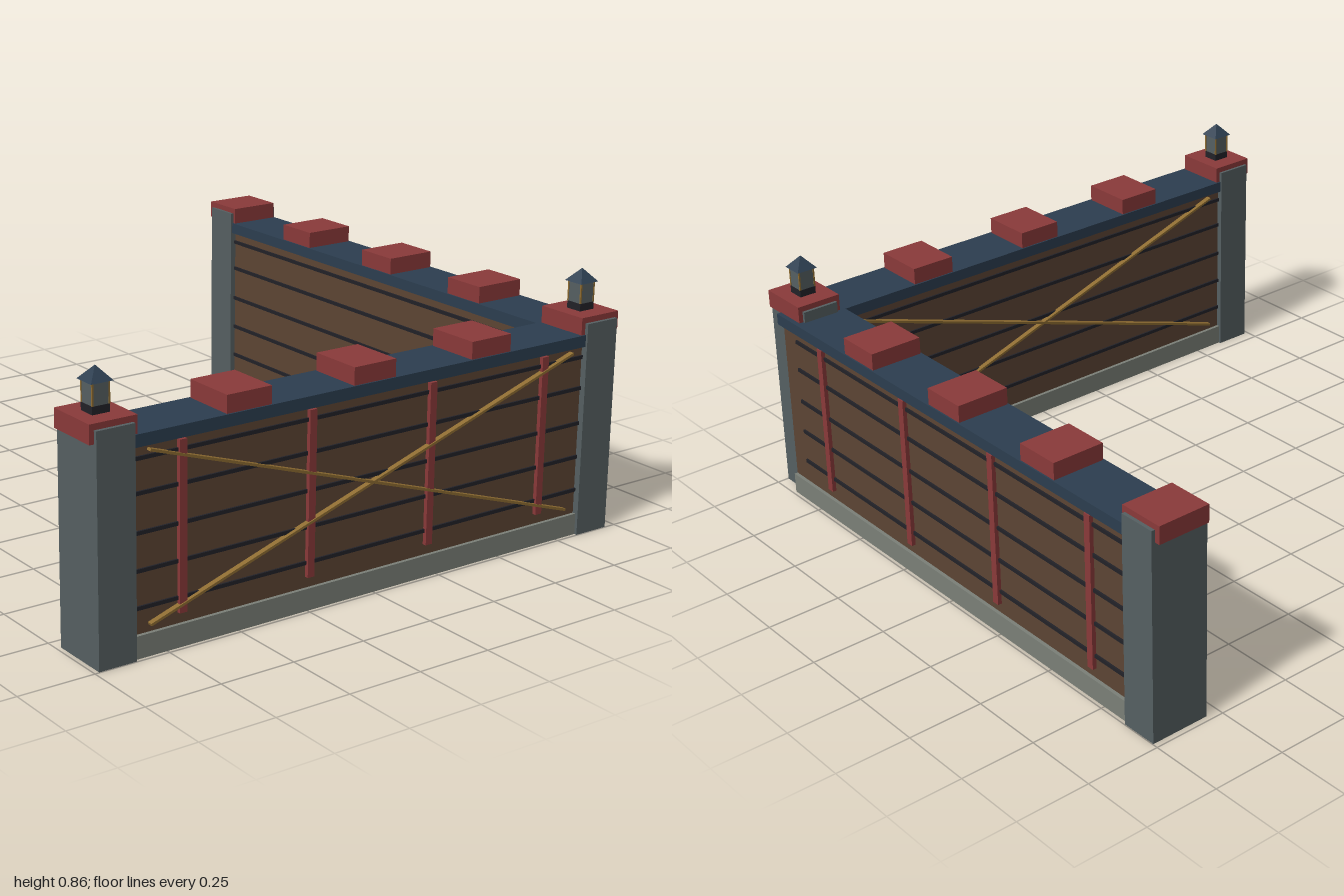
import * as THREE from 'three';

const mat = (name, color) => new THREE.MeshStandardMaterial({ name, color });

export function createModel() {
  const wood = mat('brown wood', 0x5d4534), stone = mat('grey stone', 0x566062);
  const plinth = mat('pale stone', 0x7b8078), red = mat('red paint', 0x8b3a3a);
  const navy = mat('navy roof', 0x2c3e50), dark = mat('dark groove', 0x222228), gold = mat('gold trim', 0x8f6d32);
  const root = new THREE.Group();
  root.name = 'cornerWall';

  const add = (parent, name, geometry, material, x, y, z) => {
    const mesh = new THREE.Mesh(geometry, material);
    mesh.name = name;
    mesh.position.set(x, y, z);
    parent.add(mesh);
    return mesh;
  };
  // box given by its min and max on each axis
  const box = (parent, name, material, [x0, x1], [y0, y1], [z0, z1]) =>
    add(parent, name, new THREE.BoxGeometry(x1 - x0, y1 - y0, z1 - z0), material,
      (x0 + x1) / 2, (y0 + y1) / 2, (z0 + z1) / 2);

  // one wall along local x, outside facing local +z
  function wall(name, ends, copingEnds, plankEnds, posts, merlons) {
    const g = new THREE.Group();
    g.name = name;
    box(g, 'wallBody', wood, ends, [0, 0.64], [-0.08, 0.08]);
    box(g, 'coping', navy, copingEnds, [0.63, 0.668], [-0.095, 0.095]);
    for (const s of [-1, 1]) {
      const side = (a, b) => (s > 0 ? [a, b] : [-b, -a]);
      box(g, 'plinth', plinth, ends, [0, 0.07], side(0.075, 0.092));
      for (const y of [0.15, 0.262, 0.375, 0.492, 0.594])
        box(g, 'plankGroove', dark, plankEnds, [y - 0.006, y + 0.006], side(0.078, 0.086));
    }
    for (const x of posts) box(g, 'batten', red, [x - 0.0125, x + 0.0125], [0.105, 0.625], [0.075, 0.094]);
    for (const x of merlons) box(g, 'merlon', red, [x - 0.078, x + 0.078], [0.665, 0.724], [-0.09, 0.09]);
    root.add(g);
    return g;
  }

  const front = wall('frontWall', [-0.9, 0.9], [-0.9, 0.9], [-0.88, 0.86],
    [-0.695, -0.24, 0.214, 0.668], [-0.467, -0.012, 0.442]);
  front.position.z = 0.896;

  // local x runs towards the back
  const side = wall('sideWall', [-0.905, 0.9], [-0.917, 0.9], [-0.83, 0.88],
    [-0.675, -0.22, 0.234, 0.69], [-0.446, 0.008, 0.463]);
  side.position.x = 0.896;
  side.rotation.y = Math.PI / 2;

  // crossed gold braces on both faces of the front wall
  const run = 1.59, rise = 0.52;
  for (const s of [-1, 1]) for (const d of [-1, 1]) {
    const brace = add(front, 'crossBrace', new THREE.BoxGeometry(Math.hypot(run, rise), 0.008, 0.02), gold,
      -0.012, 0.356, s * 0.088);
    brace.rotation.z = d * Math.atan2(rise, run);
  }

  // pillars and their caps
  for (const x of [-0.922, 0.897]) {
    box(root, 'pillar', stone, [x - 0.063, x + 0.063], [0, 0.705], [0.796, 0.998]);
    box(root, 'pillarCap', red, [x - 0.078, x + 0.078], [0.665, 0.724], [0.806, 0.986]);
  }
  box(root, 'pillar', stone, [0.796, 0.998], [0, 0.705], [-0.981, -0.855]);
  box(root, 'pillarCap', red, [0.806, 0.986], [0.665, 0.724], [-1, -0.844]);

  // lanterns on the front pillars
  for (const x of [-0.922, 0.897]) {
    const g = new THREE.Group();
    g.name = 'lantern';
    g.position.set(x, 0.724, 0.896);
    add(g, 'lanternFoot', new THREE.BoxGeometry(0.058, 0.024, 0.058), dark, 0, 0.012, 0);
    add(g, 'lanternBody', new THREE.BoxGeometry(0.056, 0.07, 0.056), stone, 0, 0.059, 0);
    for (const i of [-1, 1]) for (const k of [-1, 1])
      add(g, 'lanternEdge', new THREE.BoxGeometry(0.005, 0.07, 0.005), gold, i * 0.027, 0.059, k * 0.027);
    const roof = add(g, 'lanternRoof', new THREE.ConeGeometry(0.052, 0.042, 4).toNonIndexed(), navy, 0, 0.111, 0);
    roof.geometry.computeVertexNormals();
    roof.rotation.y = Math.PI / 4;
    root.add(g);
  }
  return root;
}
